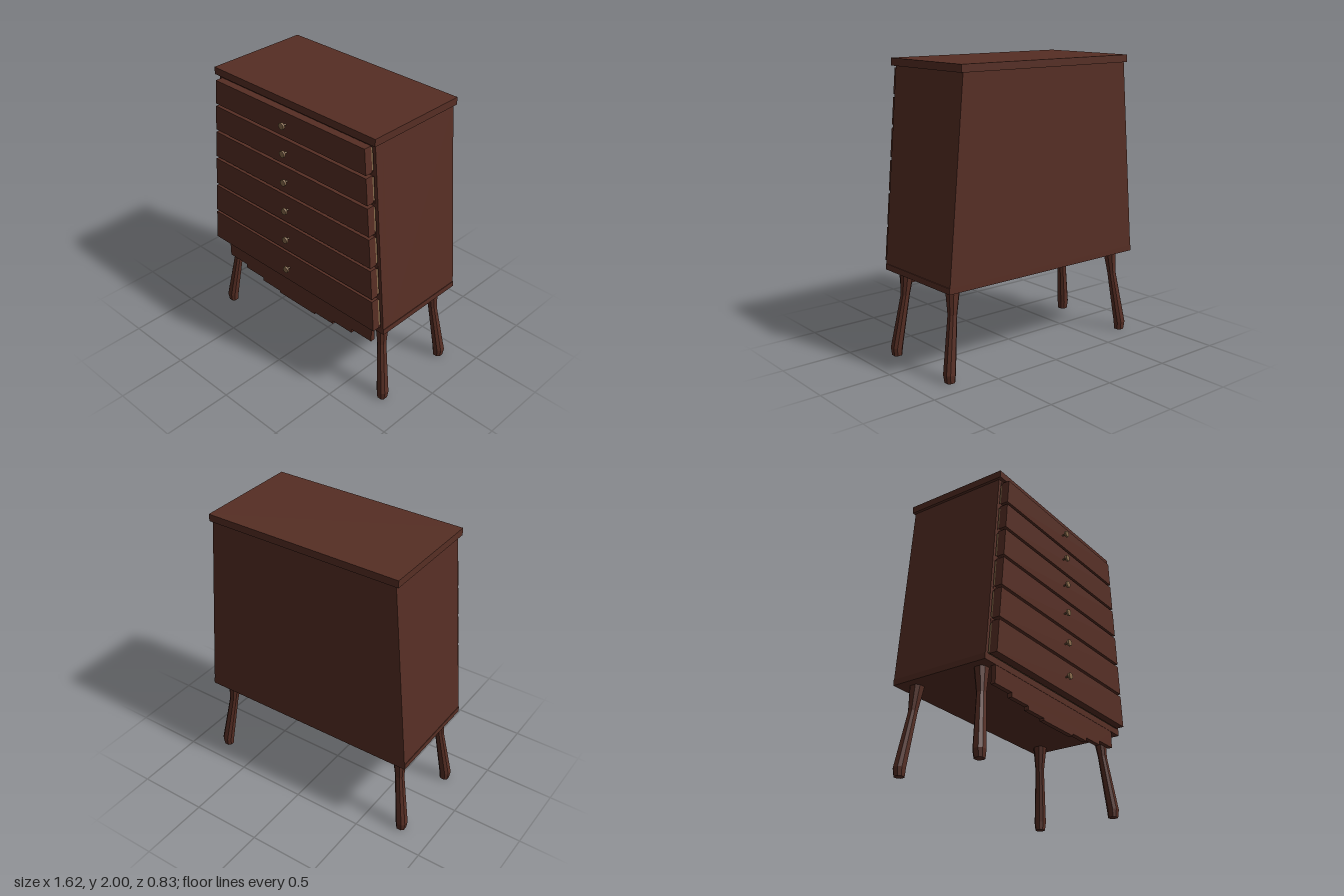
import * as THREE from 'three';

const darkWood = new THREE.MeshStandardMaterial({ color: 0x562e24 });
darkWood.name = 'darkWood';
const brass = new THREE.MeshStandardMaterial({ color: 0x86694a });
brass.name = 'brass';

// Outer half-width of the tapering case and half-width of the drawer fronts at height y
const caseHalf = (y) => 0.802 - ((y - 0.64) / 1.31) * 0.117;
const drawerHalf = (y) => 0.77 - ((y - 0.64) / 1.31) * 0.115;

// Symmetric trapezoid between two heights
function trapezoid(half, y0, y1, inset = 0, Type = THREE.Shape) {
  const a = half(y0) - inset;
  const b = half(y1) - inset;
  return new Type([[-a, y0], [a, y0], [b, y1], [-b, y1]].map(([x, y]) => new THREE.Vector2(x, y)));
}

function addMesh(parent, name, geometry, material = darkWood) {
  const mesh = new THREE.Mesh(geometry, material);
  mesh.name = name;
  parent.add(mesh);
  return mesh;
}

function addSlab(parent, name, shape, z0, z1, material = darkWood) {
  const geometry = new THREE.ExtrudeGeometry(shape, { depth: z1 - z0, bevelEnabled: false });
  geometry.translate(0, 0, z0);
  return addMesh(parent, name, geometry, material);
}

function addBox(parent, name, x0, x1, y0, y1, z0, z1) {
  const mesh = addMesh(parent, name, new THREE.BoxGeometry(x1 - x0, y1 - y0, z1 - z0));
  mesh.position.set((x0 + x1) / 2, (y0 + y1) / 2, (z0 + z1) / 2);
  return mesh;
}

// Bent leg lofted through chamfered square sections; sx and sz choose the corner
function legGeometry(sx, front) {
  const sections = [ // y, x centre, front z, back z, half-width
    [0, 0.770, 0.260, -0.345, 0.031],
    [0.055, 0.772, 0.260, -0.345, 0.037],
    [0.43, 0.717, 0.224, -0.309, 0.028],
    [0.6, 0.703, 0.212, -0.296, 0.043],
  ];
  const rings = sections.map(([y, x, zf, zb, r]) => {
    const c = r * 0.5;
    return [[r, c], [c, r], [-c, r], [-r, c], [-r, -c], [-c, -r], [c, -r], [r, -c]]
      .map(([dx, dz]) => [sx * x + dx, y, (front ? zf : zb) + dz]);
  });
  const positions = [];
  const tri = (a, b, c) => positions.push(...a, ...b, ...c);
  for (let i = 0; i < rings.length - 1; i++) {
    for (let j = 0; j < 8; j++) {
      const k = (j + 1) % 8;
      tri(rings[i][j], rings[i + 1][j], rings[i][k]);
      tri(rings[i][k], rings[i + 1][j], rings[i + 1][k]);
    }
  }
  const top = rings[rings.length - 1];
  for (let j = 1; j < 7; j++) {
    tri(rings[0][0], rings[0][j], rings[0][j + 1]);
    tri(top[0], top[j + 1], top[j]);
  }
  const geometry = new THREE.BufferGeometry();
  geometry.setAttribute('position', new THREE.Float32BufferAttribute(positions, 3));
  geometry.computeVertexNormals();
  return geometry;
}

export function createModel() {
  const model = new THREE.Group();
  model.name = 'tallboy';

  // Case: solid back, open front rim, base board and top board
  addSlab(model, 'caseBody', trapezoid(caseHalf, 0.64, 1.95), -0.405, 0.25);
  const rim = trapezoid(caseHalf, 0.64, 1.95);
  rim.holes.push(trapezoid(caseHalf, 0.645, 1.94, 0.024, THREE.Path));
  addSlab(model, 'caseRim', rim, 0.25, 0.315);
  addBox(model, 'baseBoard', -0.806, 0.806, 0.6, 0.64, -0.405, 0.315);
  addBox(model, 'topBoard', -0.705, 0.705, 1.95, 2, -0.415, 0.34);

  // Drawers: bottom, top, knob height
  const drawers = [
    [0.645, 0.87, 0.755], [0.89, 1.10, 0.997], [1.12, 1.325, 1.225],
    [1.345, 1.54, 1.443], [1.56, 1.74, 1.653], [1.76, 1.932, 1.85],
  ];
  drawers.forEach(([y0, y1, knobY], i) => {
    const drawer = new THREE.Group();
    drawer.name = `drawer${i + 1}`;
    model.add(drawer);
    addSlab(drawer, 'drawerFront', trapezoid(drawerHalf, y0, y1), 0.32, 0.375);
    addSlab(drawer, 'drawerBox', trapezoid(drawerHalf, y0 + 0.01, y1 - 0.01, 0.004), 0.255, 0.32, brass);
    const stem = addMesh(drawer, 'knobStem', new THREE.CylinderGeometry(0.006, 0.006, 0.035, 8), brass);
    stem.rotation.x = Math.PI / 2;
    stem.position.set(0, knobY, 0.39);
    const knob = addMesh(drawer, 'knob', new THREE.CylinderGeometry(0.023, 0.023, 0.014, 10), brass);
    knob.rotation.x = Math.PI / 2;
    knob.position.set(0, knobY, 0.409);
    // Rail behind the gap above this drawer
    const railTop = i < 5 ? drawers[i + 1][0] + 0.01 : 1.94;
    addSlab(model, 'rail', trapezoid(caseHalf, y1 - 0.01, railTop, 0.026), 0.25, 0.315);
  });

  // Stepped apron
  const apron = new THREE.Shape();
  const steps = [[0.7, 0.48], [0.525, 0.45], [0.35, 0.425], [0.175, 0.41]];
  apron.moveTo(0.7, 0.6);
  apron.lineTo(-0.7, 0.6);
  steps.forEach(([x, y], i) => {
    apron.lineTo(-x, y);
    if (i < 3) apron.lineTo(-steps[i + 1][0], y);
  });
  [...steps].reverse().forEach(([x, y], i) => {
    if (i > 0) apron.lineTo(steps[4 - i][0], y);
    apron.lineTo(x, y);
  });
  addSlab(model, 'apron', apron, 0.28, 0.313);

  // Legs
  for (const sx of [-1, 1]) {
    for (const front of [true, false]) {
      addMesh(model, `${front ? 'front' : 'back'}${sx > 0 ? 'Left' : 'Right'}Leg`, legGeometry(sx, front));
    }
  }
  return model;
}
